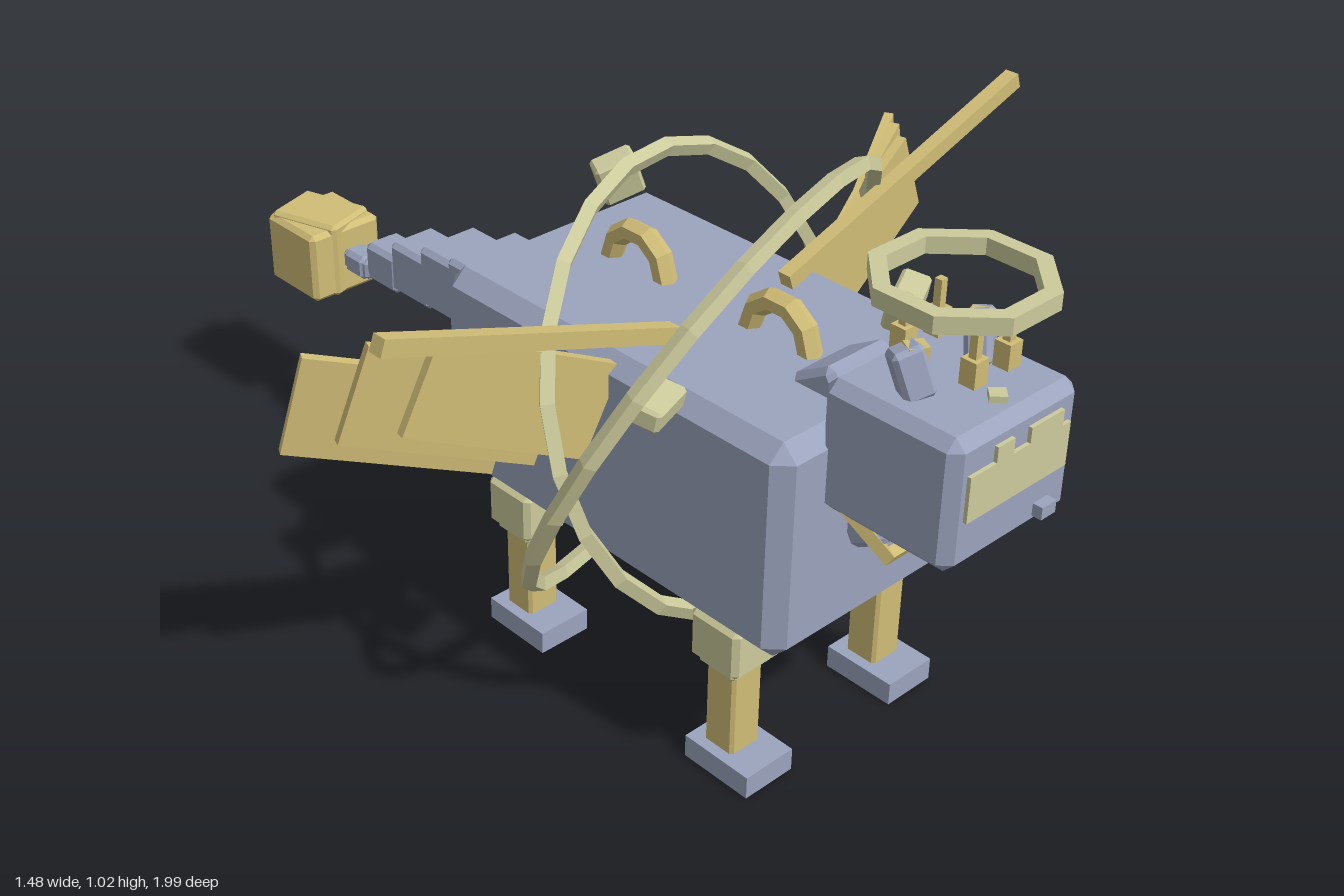
import * as THREE from 'three';
import { ConvexGeometry } from 'three/addons/geometries/ConvexGeometry.js';

export function createModel() {
  const model = new THREE.Group();
  const mat = (name, color) => {
    const m = new THREE.MeshStandardMaterial({ color });
    m.name = name;
    return m;
  };
  const blue = mat('slateBlue', 0x9ca4be);
  const gold = mat('gold', 0xd0bd76);
  const pale = mat('paleOlive', 0xcccb9c);

  const add = (name, geo, material, pos, rot = [0, 0, 0]) => {
    const mesh = new THREE.Mesh(geo, material);
    mesh.name = name;
    mesh.position.set(...pos);
    mesh.rotation.set(rot[0], rot[1], rot[2], 'YXZ');
    model.add(mesh);
    return mesh;
  };
  // Same part on the left and mirrored on the right
  const pair = (name, geo, material, [x, y, z], [rx, ry, rz] = [0, 0, 0]) => {
    add(name + 'Left', geo, material, [x, y, z], [rx, ry, rz]);
    add(name + 'Right', geo, material, [-x, y, z], [rx, -ry, -rz]);
  };
  const box = (w, h, d) => new THREE.BoxGeometry(w, h, d);
  // Box with flat chamfered edges
  const chamfer = (w, h, d, b) => {
    const pts = [];
    const half = [w / 2, h / 2, d / 2];
    for (let axis = 0; axis < 3; axis++)
      for (const sx of [-1, 1]) for (const sy of [-1, 1]) for (const sz of [-1, 1]) {
        const s = [sx, sy, sz];
        pts.push(new THREE.Vector3(...half.map((v, i) => s[i] * (i === axis ? v : v - b))));
      }
    return new ConvexGeometry(pts);
  };
  const facet = (geo) => {
    const g = geo.toNonIndexed();
    g.computeVertexNormals();
    return g;
  };

  // Body, neck and head
  add('body', chamfer(0.5, 0.415, 0.835, 0.03), blue, [0, 0.522, 0.268]);
  add('neck', chamfer(0.15, 0.3, 0.1, 0.012), blue, [0, 0.63, 0.645], [-0.54, 0, 0]);
  add('neckBand', chamfer(0.18, 0.1, 0.08, 0.012), blue, [0, 0.545, 0.7], [-0.54, 0, 0]);
  add('neckRidge', chamfer(0.13, 0.03, 0.05, 0.008), blue, [0, 0.745, 0.625]);
  add('collar', facet(new THREE.TorusGeometry(0.127, 0.016, 4, 3, Math.PI)), gold,
    [0, 0.592, 0.712], [-0.35, 0, Math.PI]);
  add('head', chamfer(0.3, 0.24, 0.27, 0.02), blue, [0, 0.7, 0.795]);

  // Face plate with a notched upper edge
  const face = new THREE.Shape([
    [-0.12, 0.675], [0.12, 0.675], [0.12, 0.755], [0.1, 0.755], [0.1, 0.785], [0.02, 0.785],
    [0.02, 0.757], [-0.02, 0.757], [-0.02, 0.785], [-0.06, 0.785], [-0.06, 0.757], [-0.12, 0.757],
  ].map((p) => new THREE.Vector2(...p)));
  add('facePlate', new THREE.ExtrudeGeometry(face, { depth: 0.008, bevelEnabled: false }), pale, [0, 0, 0.929]);
  add('nose', box(0.034, 0.022, 0.018), blue, [0, 0.676, 0.988]);
  add('browStone', box(0.028, 0.012, 0.028), pale, [0, 0.826, 0.882], [0, Math.PI / 4, 0]);

  // Ears, crown posts and the octagonal halo
  pair('ear', chamfer(0.055, 0.09, 0.045, 0.008), blue, [0.082, 0.855, 0.78], [-0.15, 0.5, -0.3]);
  pair('earTip', box(0.034, 0.045, 0.03), gold, [0.075, 0.878, 0.78], [0, 0.5, 0]);
  for (const z of [0.727, 0.863]) {
    pair('crownBlock', box(0.03, 0.045, 0.03), gold, [0.04, 0.877, z]);
    pair('crownPost', box(0.014, 0.09, 0.014), gold, [0.04, 0.905, z]);
  }
  const haloProfile = [[0.121, -0.015], [0.15, -0.015], [0.15, 0.015], [0.121, 0.015], [0.121, -0.015]]
    .map((p) => new THREE.Vector2(...p));
  add('halo', facet(new THREE.LatheGeometry(haloProfile, 8)), pale, [0, 0.988, 0.798], [0, Math.PI / 8, 0]);

  // Legs
  for (const z of [0.538, 0.005]) {
    pair('foot', box(0.112, 0.045, 0.15), blue, [0.184, 0.0225, z + 0.017]);
    pair('shin', chamfer(0.07, 0.2, 0.068, 0.006), gold, [0.184, 0.14, z]);
    pair('kneeBand', chamfer(0.094, 0.04, 0.085, 0.006), pale, [0.184, 0.235, z]);
    pair('thigh', chamfer(0.115, 0.1, 0.112, 0.01), pale, [0.184, 0.278, z]);
  }

  // Tail: shrinking blocks ending in two crossed blocks
  [[0.175, 0.175, 0.185, 0.522, -0.258], [0.142, 0.13, 0.11, 0.52, -0.405],
    [0.11, 0.11, 0.125, 0.49, -0.515], [0.084, 0.085, 0.1, 0.457, -0.63],
    [0.056, 0.052, 0.066, 0.414, -0.747]].forEach(([w, h, d, y, z], i) => {
    add('tailBlock' + (i + 1), chamfer(w, h, d, 0.01), blue, [0, y, z]);
    add('tailCore' + (i + 1), chamfer(w * 0.84, h * 0.84, d + 0.02, 0.008), blue, [0, y, z]);
  });
  add('tailClub', chamfer(0.175, 0.155, 0.165, 0.01), gold, [0, 0.397, -0.888]);
  add('tailClubCore', chamfer(0.125, 0.165, 0.165, 0.008), gold, [0, 0.402, -0.896], [0, 0.31, 0]);

  // Wings: a raised beam and three fanned plates on each side
  pair('wingBeam', box(0.63, 0.03, 0.028), gold, [0.432, 0.852, 0.322], [0, 0, 0.336]);
  [[0.36, 0.42, 0.705, 0.247, 0.2, 0.43], [0.35, 0.495, 0.695, 0.187, 0.35, 0.35],
    [0.355, 0.563, 0.68, 0.133, 0.48, 0.27]].forEach(([len, x, y, z, ry, rz], i) => {
    pair('wingPlate' + (i + 1), box(len, 0.178, 0.018), gold, [x, y, z], [0, ry, rz]);
  });

  // Two tilted hoops around the body
  for (const [name, r, n] of [['outerHoop', 0.47, [0.25, -0.45, 0.86]], ['innerHoop', 0.408, [0.18, 0.35, 0.92]]]) {
    const hoop = add(name, facet(new THREE.TorusGeometry(r, 0.017, 4, 22)), pale, [0, 0.583, 0.266]);
    hoop.quaternion.setFromUnitVectors(new THREE.Vector3(0, 0, 1), new THREE.Vector3(...n).normalize());
  }

  // Arches along the back
  for (const z of [0.438, 0.095])
    add('backArch', facet(new THREE.TorusGeometry(0.068, 0.022, 6, 5, Math.PI)), gold, [0, 0.735, z], [0, Math.PI / 2, 0]);

  // Loose stones floating around the body
  [[0.1, 0.04, 0.05, -0.305, 0.745, 0.467, 0.35], [0.1, 0.05, 0.06, -0.3, 0.66, 0.055, -0.4],
    [0.1, 0.055, 0.05, 0.12, 0.825, 0.6, 0.45], [0.08, 0.09, 0.045, 0.11, 0.815, -0.08, -0.4],
  ].forEach(([w, h, d, x, y, z, ry]) => {
    add('floatingStone', chamfer(w, h, d, 0.006), pale, [x, y, z], [0.2, ry, x > 0 ? 0.35 : 0]);
  });

  return model;
}
